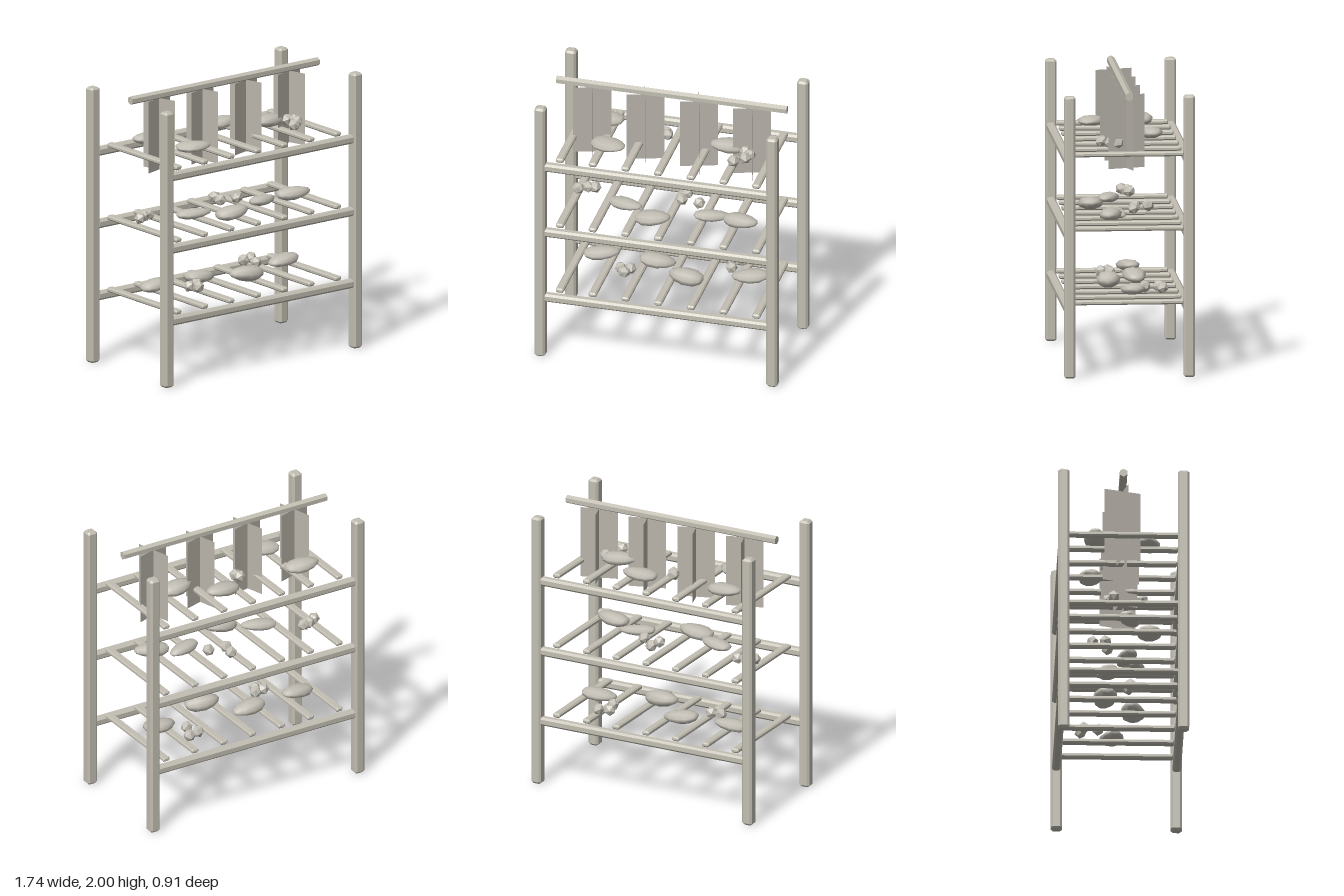
import * as THREE from 'three';

const timber = new THREE.MeshStandardMaterial({ color: 0xc2beb2 });
timber.name = 'weathered timber';
const cloth = new THREE.MeshStandardMaterial({ color: 0xbab5ac, side: THREE.DoubleSide });
cloth.name = 'dried leaf';
const food = new THREE.MeshStandardMaterial({ color: 0xc2beb4 });
food.name = 'dried food';

// Bar along z with every edge chamfered by c
function barGeometry(w, h, length, c) {
  const a = w / 2 - c, b = h / 2 - c;
  const s = new THREE.Shape();
  [[a, -b - c], [a + c, -b], [a + c, b], [a, b + c], [-a, b + c], [-a - c, b], [-a - c, -b], [-a, -b - c]]
    .forEach(([x, y], i) => (i ? s.lineTo(x, y) : s.moveTo(x, y)));
  s.closePath();
  const g = new THREE.ExtrudeGeometry(s, {
    depth: length - 2 * c, bevelEnabled: true, bevelThickness: c, bevelSize: c, bevelOffset: -c, bevelSegments: 1,
  });
  return g.translate(0, 0, c - length / 2);
}

// Flat lens shape along x: blunt at -x, pointed at +x
function filletGeometry() {
  const g = new THREE.SphereGeometry(1, 9, 6).rotateZ(-Math.PI / 2);
  const p = g.attributes.position;
  for (let i = 0; i < p.count; i++) {
    const x = p.getX(i);
    const wide = 1 - 0.18 * x;
    p.setXYZ(i, x, p.getY(i) * wide + 0.12 * x * x - 0.06, p.getZ(i) * wide);
  }
  const n = g.attributes.normal;
  for (let i = 0; i < p.count; i++) n.setXYZ(i, p.getX(i), p.getY(i), p.getZ(i));
  g.normalizeNormals();
  return g;
}

export function createModel() {
  const model = new THREE.Group();
  model.name = 'dryingRack';

  const add = (name, geometry, material, x, y, z, parent = model) => {
    const mesh = new THREE.Mesh(geometry, material);
    mesh.name = name;
    mesh.position.set(x, y, z);
    parent.add(mesh);
    return mesh;
  };

  // Four corner posts
  const post = barGeometry(0.078, 0.078, 1.98, 0.014).rotateX(-Math.PI / 2);
  for (const x of [-0.833, 0.833]) for (const z of [-0.416, 0.416]) add('post', post, timber, x, 0.99, z);

  // Three shelves: two long rails and seven rungs each
  const rail = barGeometry(0.06, 0.06, 1.62, 0.014).rotateY(Math.PI / 2);
  const rung = barGeometry(0.056, 0.032, 0.78, 0.009);
  const shelfTops = [0.525, 1.043, 1.565];
  for (const top of shelfTops) {
    const shelf = new THREE.Group();
    shelf.name = 'shelf';
    model.add(shelf);
    for (const z of [-0.418, 0.418]) add('rail', rail, timber, 0, top - 0.057, z, shelf);
    for (let i = -3; i <= 3; i++) add('rung', rung, timber, i * 0.235, top - 0.016, 0, shelf);
  }

  // Six-sided hanging rod
  const rod = new THREE.CylinderGeometry(0.03, 0.03, 1.655, 6).toNonIndexed();
  rod.computeVertexNormals();
  rod.rotateZ(Math.PI / 2).rotateX(Math.PI / 2);
  const p = rod.attributes.position;
  let peak = 0;
  for (let i = 0; i < p.count; i++) peak = Math.max(peak, p.getY(i));
  if (peak < 0.029) rod.rotateX(Math.PI / 6);
  add('hangingRod', rod, timber, 0, 1.97, 0);

  // Hanging bundles made of two crossed sheets
  const sheet = new THREE.PlaneGeometry(0.266, 0.515);
  for (const x of [-0.573, -0.191, 0.194, 0.575]) {
    const bundle = new THREE.Group();
    bundle.name = 'hangingBundle';
    bundle.position.set(x, 1.688, 0);
    bundle.rotation.y = 0.3;
    model.add(bundle);
    add('sheet', sheet, cloth, 0, 0, 0, bundle);
    add('sheet', sheet, cloth, 0, 0, 0, bundle).rotation.y = Math.PI / 2;
  }

  // Fillets: x, y, z, half height, half depth, turn about y, tilt
  const fillet = filletGeometry();
  const fillets = [
    [-0.53, 0.575, -0.1, 0.04, 0.08, 0.2, 0.1],
    [-0.13, 0.565, -0.11, 0.045, 0.085, 0.1, -0.1],
    [0.125, 0.585, 0.09, 0.055, 0.085, 3.0, 0.05],
    [0.55, 0.58, -0.04, 0.04, 0.085, 3.3, -0.08],
    [-0.315, 1.085, 0.06, 0.035, 0.07, -0.3, 0.04],
    [-0.085, 1.085, 0.2, 0.045, 0.09, 0, 0.12],
    [0.3, 1.075, 0.05, 0.035, 0.065, 0.3, -0.05],
    [0.525, 1.1, 0.11, 0.045, 0.08, -0.2, 0.05],
    [-0.52, 1.61, -0.185, 0.04, 0.085, 3.1, 0.05],
    [-0.41, 1.61, 0.175, 0.035, 0.095, -0.3, 0.03],
    [0.14, 1.61, -0.205, 0.04, 0.085, 0.1, 0.06],
    [0.4, 1.615, -0.02, 0.045, 0.085, 3.3, 0.05],
  ];
  for (const [x, y, z, h, d, turn, tilt] of fillets) {
    const mesh = add('fillet', fillet, food, x, y, z);
    mesh.scale.set(0.13, h, d);
    mesh.rotation.set(0, turn, tilt, 'YXZ');
  }

  // Faceted berries: x, z on each shelf
  const berry = new THREE.IcosahedronGeometry(0.044, 0);
  const berries = [
    [[-0.355, 0.06], [-0.315, 0.11], [-0.285, 0.05], [0.36, -0.24], [0.39, -0.14], [0.44, -0.26]],
    [[-0.69, -0.065], [-0.63, -0.1], [-0.58, -0.11], [0.045, -0.1], [0.06, -0.19], [0.175, -0.08]],
    [[-0.065, -0.1], [-0.05, -0.065], [0.485, 0.17], [0.555, 0.11], [0.575, 0.06], [0.535, 0.02]],
  ];
  berries.forEach((row, s) => row.forEach(([x, z], i) => {
    add('berry', berry, food, x, shelfTops[s] + 0.042, z).rotation.set(i * 0.7, i * 1.3, 0);
  }));

  return model;
}
